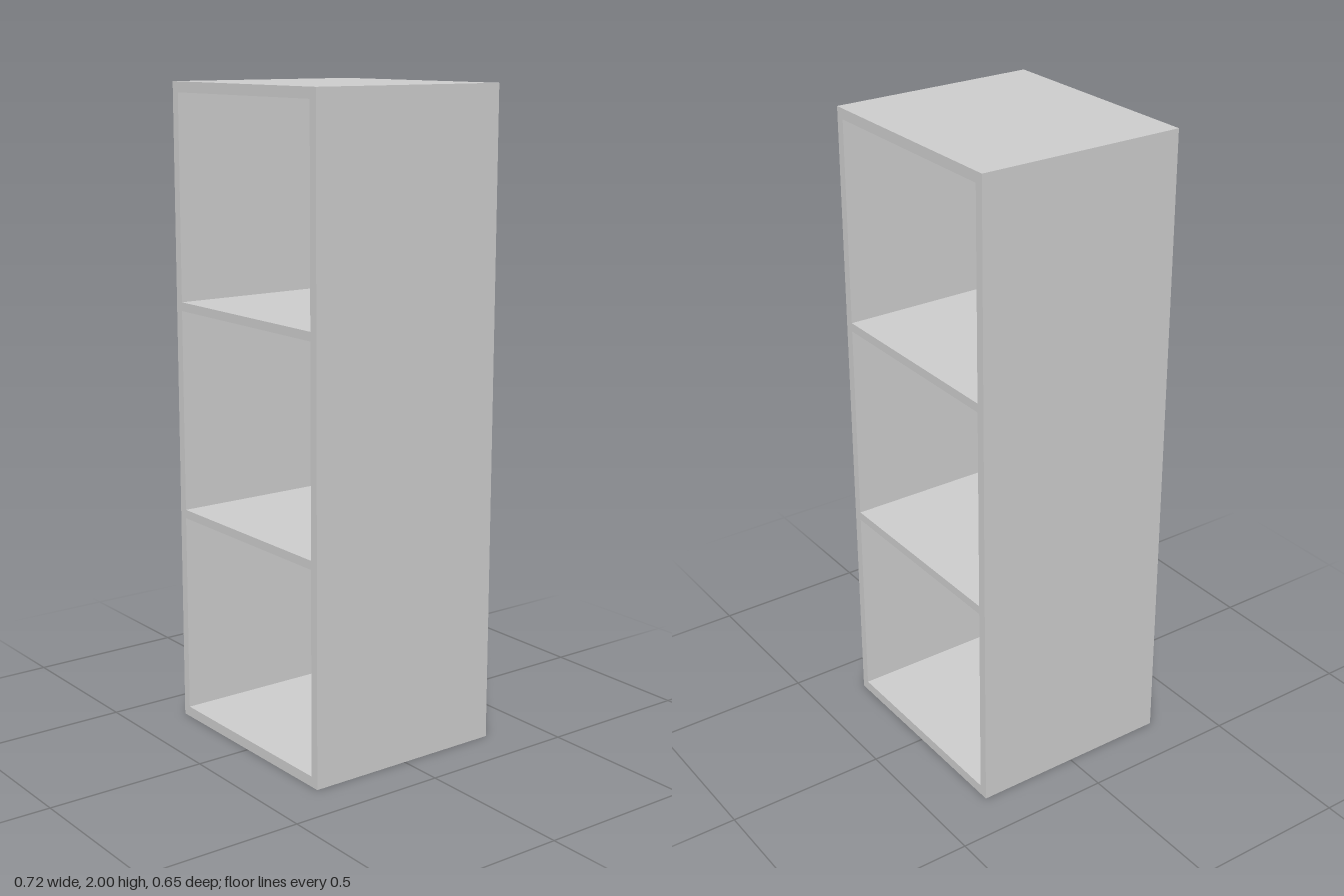
import * as THREE from 'three';

const WIDTH = 0.718, HEIGHT = 2, DEPTH = 0.652;
const SIDE = 0.028, END = 0.032, SHELF = 0.027, BAYS = 3;

// Rectangle path from two opposite corners
function rect(path, x0, y0, x1, y1) {
  path.moveTo(x0, y0);
  path.lineTo(x1, y0);
  path.lineTo(x1, y1);
  path.lineTo(x0, y1);
  path.closePath();
  return path;
}

export function createModel() {
  const group = new THREE.Group();
  group.name = 'shelfUnit';

  // Outer case, with one open bay between each pair of boards
  const shape = rect(new THREE.Shape(), -WIDTH / 2, 0, WIDTH / 2, HEIGHT);
  const bay = (HEIGHT - 2 * END - (BAYS - 1) * SHELF) / BAYS;
  const inner = WIDTH / 2 - SIDE;
  for (let i = 0; i < BAYS; i++) {
    const y = END + i * (bay + SHELF);
    shape.holes.push(rect(new THREE.Path(), -inner, y, inner, y + bay));
  }

  // Open right through from front to back
  const geometry = new THREE.ExtrudeGeometry(shape, { depth: DEPTH, bevelEnabled: false });
  geometry.translate(0, 0, -DEPTH / 2);
  const frame = new THREE.Mesh(geometry, new THREE.MeshStandardMaterial({ color: 0xcccccc }));
  frame.name = 'caseWithShelves';
  group.add(frame);
  return group;
}
